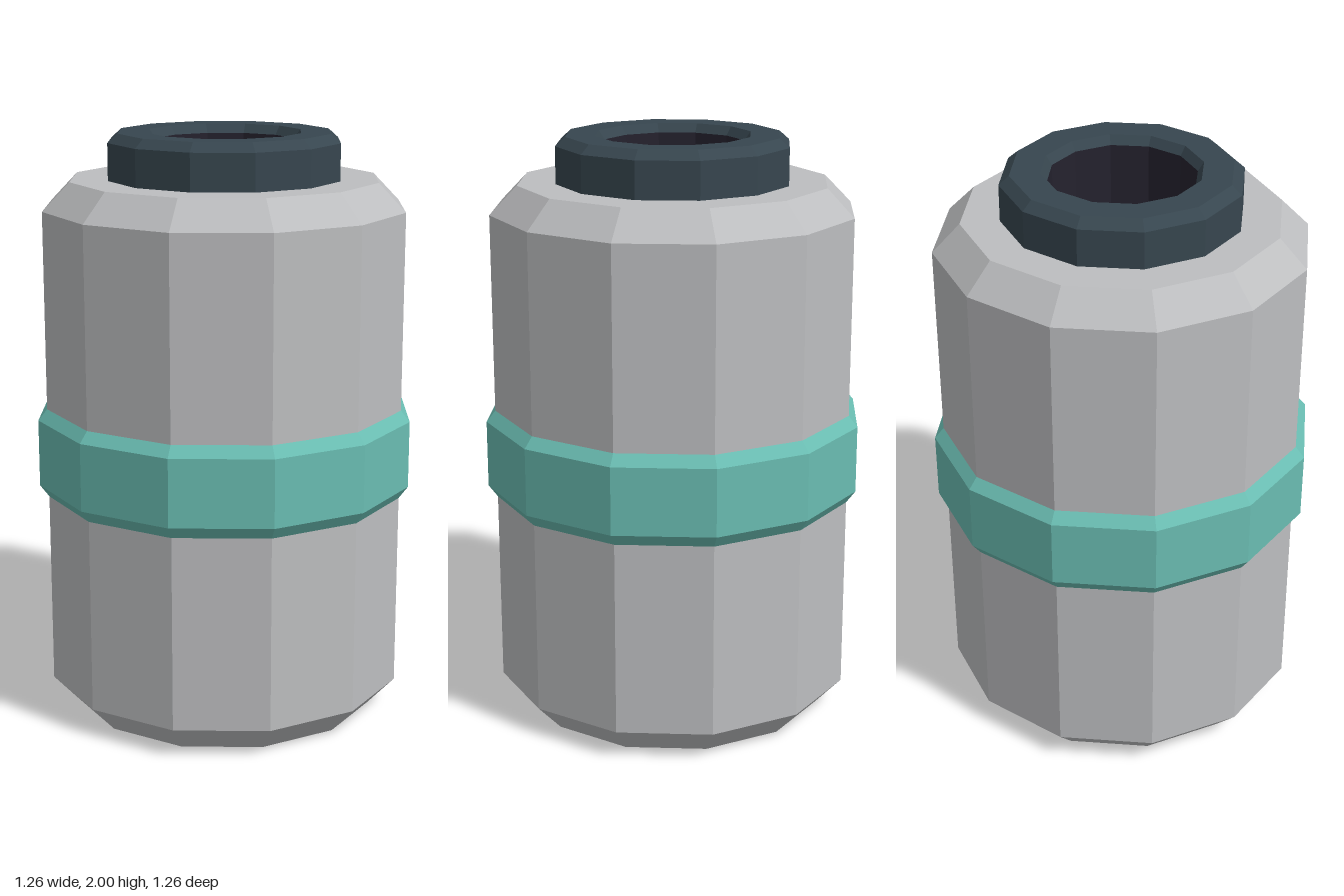
import * as THREE from 'three';

const SIDES = 12;
const STEP = Math.PI / SIDES; // half a facet, so flats face the axes

const mat = (name, color) => {
  const m = new THREE.MeshStandardMaterial({ color });
  m.name = name;
  return m;
};

// Faceted ring from [flat-to-centre distance, height] pairs, listed upward on outer walls
function faceted(name, profile, material) {
  const points = profile.map(([a, y]) => new THREE.Vector2(a / Math.cos(STEP), y));
  const geometry = new THREE.LatheGeometry(points, SIDES, STEP).toNonIndexed();
  geometry.computeVertexNormals();
  const mesh = new THREE.Mesh(geometry, material);
  mesh.name = name;
  return mesh;
}

// Flat twelve-sided disc facing up or down
function disc(name, apothem, y, up, material) {
  const geometry = new THREE.CircleGeometry(apothem / Math.cos(STEP), SIDES, STEP);
  geometry.rotateX(up ? -Math.PI / 2 : Math.PI / 2);
  geometry.translate(0, y, 0);
  const mesh = new THREE.Mesh(geometry, material);
  mesh.name = name;
  return mesh;
}

export function createModel() {
  const grey = mat('lightGrey', 0xbdbec0);
  const slate = mat('darkSlate', 0x37464f);
  const teal = mat('teal', 0x6abdb2);
  const dark = mat('darkInterior', 0x25222e);

  const group = new THREE.Group();
  group.name = 'canister';
  group.add(
    // Chamfered body shell with its top shoulder
    faceted('body', [[0.51, 0], [0.6, 0.1], [0.6, 1.75], [0.51, 1.845], [0.3, 1.845]], grey),
    disc('base', 0.51, 0, false, slate),
    // Raised band around the middle
    faceted('band', [[0.598, 0.765], [0.63, 0.81], [0.63, 1.04], [0.598, 1.08]], teal),
    // Neck with bevelled rim
    faceted('neck', [[0.385, 1.84], [0.385, 1.97], [0.352, 2], [0.255, 2], [0.236, 1.97]], slate),
    // Hollow bore
    faceted('boreWall', [[0.236, 1.97], [0.236, 1.55]], dark),
    disc('boreFloor', 0.236, 1.55, true, dark),
  );
  return group;
}
